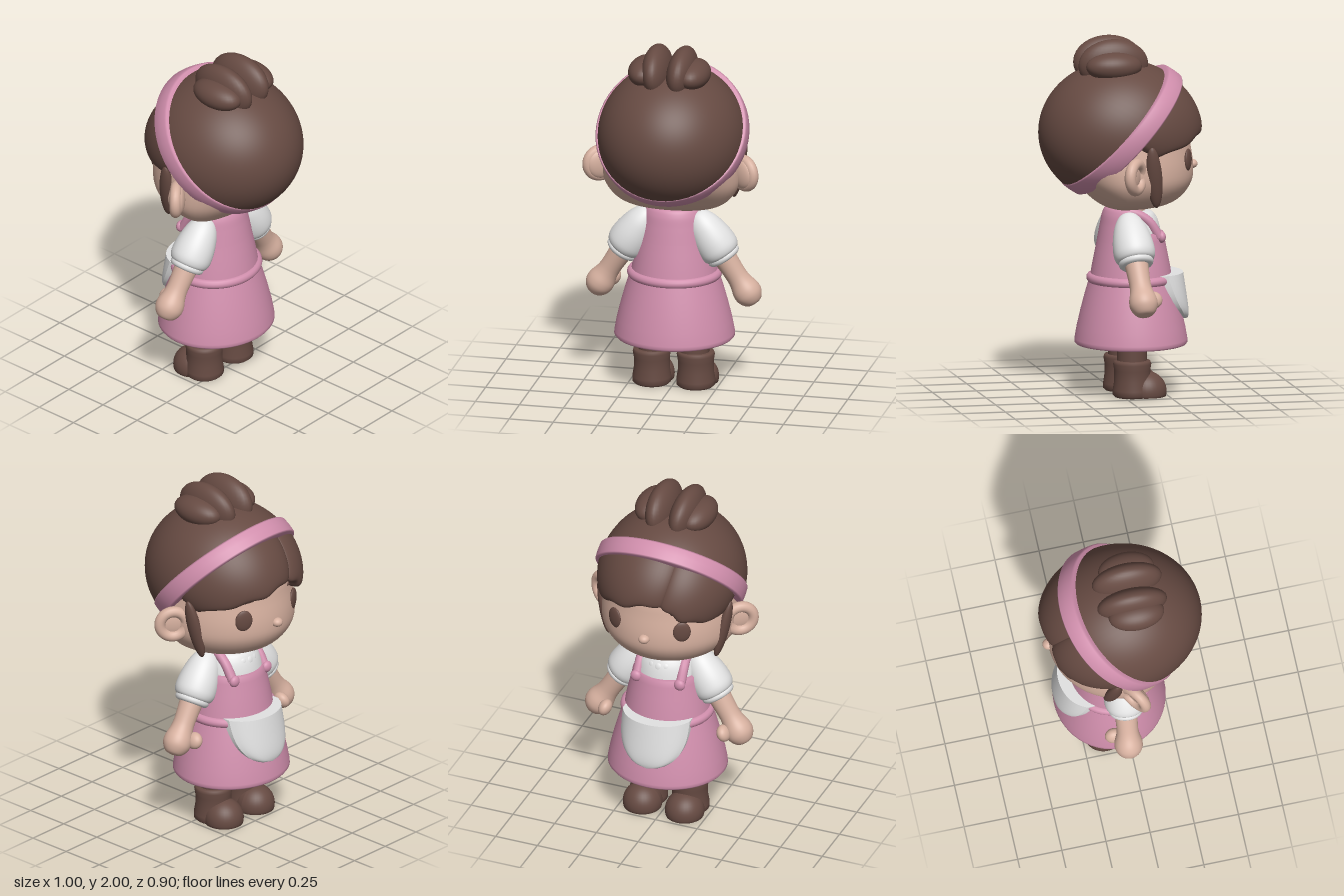
import * as THREE from 'three';

const mat = (name, color, side = THREE.FrontSide) => {
  const m = new THREE.MeshStandardMaterial({ color, side });
  m.name = name;
  return m;
};

export function createModel() {
  const hair = mat('brown', 0x664a42, THREE.DoubleSide);
  const pink = mat('pink', 0xd08eac, THREE.DoubleSide);
  const skin = mat('skin', 0xd6b09f);
  const white = mat('white', 0xe2e2e2);
  const root = new THREE.Group();

  // helpers
  const add = (parent, name, geo, material, x = 0, y = 0, z = 0) => {
    const m = new THREE.Mesh(geo, material);
    m.name = name;
    m.position.set(x, y, z);
    parent.add(m);
    return m;
  };
  const ball = (parent, name, material, p, r) =>
    add(parent, name, new THREE.SphereGeometry(1, 32, 22).scale(...r), material, ...p);
  const lathe = (pts, start = 0, length = Math.PI * 2) =>
    new THREE.LatheGeometry(pts.map(p => new THREE.Vector2(...p)), 56, start, length);
  const smooth = (pts, n = 32) =>
    new THREE.SplineCurve(pts.map(p => new THREE.Vector2(...p))).getPoints(n).map(p => [Math.max(0, p.x), p.y]);
  const bothSides = (name, build) => {
    for (const s of [1, -1]) {
      const g = new THREE.Group();
      g.name = (s > 0 ? 'left' : 'right') + name;
      build(g);
      g.scale.x = s;
      root.add(g);
    }
  };
  // places a unit-sphere geometry on the skull, tilted along the headband
  const onSkull = geo => geo.rotateX(0.897).scale(0.41, 0.4, 0.455).translate(0, 1.46, 0);

  // head: round jaw, flattened towards the nape
  const headGeo = lathe(smooth([[0, 1.05], [0.13, 1.051], [0.24, 1.066], [0.32, 1.11], [0.375, 1.19], [0.385, 1.28],
    [0.37, 1.4], [0.345, 1.52], [0.25, 1.66], [0, 1.74]], 40));
  const hp = headGeo.attributes.position;
  for (let i = 0; i < hp.count; i++) {
    const z = hp.getZ(i), f = Math.min(0.85, 0.4 + (hp.getY(i) - 1.05) * 1.8);
    hp.setZ(i, z > 0 ? z * f : z * 1.05 - 0.01);
  }
  headGeo.computeVertexNormals();
  add(root, 'head', headGeo, skin);
  ball(root, 'nose', skin, [0, 1.275, -0.415], [0.032, 0.026, 0.032]);

  // hair cap and headband
  add(root, 'hairCap', onSkull(new THREE.SphereGeometry(1, 64, 32, 0, Math.PI * 2, 0, 1.48).translate(0, 0, -0.03)), hair);
  add(root, 'headband', onSkull(lathe([[0.9, -0.125], [1.015, -0.122], [1.035, -0.1], [1.04, 0], [1.035, 0.1],
    [1.015, 0.122], [0.9, 0.125]]).translate(0, 0, -0.06)), pink);

  // swept fringe, one puffed lobe on each side of the parting
  const fringe = (name, a0, a1) => {
    const cols = 36, rows = 20, pos = [], idx = [];
    for (let i = 0; i <= cols; i++) {
      const s = i / cols, phi = THREE.MathUtils.degToRad(a0 + (a1 - a0) * s);
      const puff = Math.pow(Math.max(0, Math.sin(Math.PI * s)), 0.35);
      const hem = THREE.MathUtils.degToRad(42 - 18 * s + 14 * Math.sin(Math.PI * s) + 1.2 * Math.sin(s * 19));
      for (let j = 0; j <= rows; j++) {
        const v = j / rows, lat = hem * (1 - (1 - v) ** 1.6);
        const r = 0.88 + 0.155 * puff * Math.sqrt(1 - v ** 8);
        pos.push(r * Math.cos(lat) * Math.sin(phi), -r * Math.sin(lat), -r * Math.cos(lat) * Math.cos(phi));
        if (i < cols && j < rows) {
          const a = i * (rows + 1) + j, b = a + rows + 1;
          if (a1 > a0) idx.push(a, a + 1, b, b, a + 1, b + 1);
          else idx.push(a, b, a + 1, b, b + 1, a + 1);
        }
      }
    }
    const g = new THREE.BufferGeometry();
    g.setAttribute('position', new THREE.Float32BufferAttribute(pos, 3));
    g.setIndex(idx);
    onSkull(g).computeVertexNormals();
    add(root, name, g, hair);
  };
  fringe('wideFringe', -25, 92);
  fringe('narrowFringe', -17, -92);

  bothSides('HeadDetails', g => {
    // bun lobes
    ball(g, 'bunInnerLobe', hair, [0.07, 1.855, 0.045], [0.08, 0.145, 0.197]).rotation.z = -0.08;
    ball(g, 'bunOuterLobe', hair, [0.135, 1.855, 0.055], [0.095, 0.08, 0.157]);
    // side lock
    ball(g, 'sideLock', hair, [0.355, 1.26, -0.125], [0.032, 0.18, 0.045]).rotation.set(0.12, 0, -0.2);
    // cupped ear, flaring backwards
    const ear = new THREE.Group();
    ear.name = 'ear';
    ear.position.set(0.41, 1.275, -0.01);
    ear.rotation.y = -0.65;
    g.add(ear);
    add(ear, 'earRim', new THREE.TorusGeometry(0.074, 0.031, 16, 36), skin);
    ball(ear, 'earBack', skin, [0, 0, 0.02], [0.085, 0.085, 0.032]);
    // eye and brow
    const eye = ball(g, 'eye', hair, [0.2, 1.33, -0.35], [0.05, 0.062, 0.016]);
    eye.rotation.y = -0.5;
    const brow = add(g, 'brow', new THREE.CapsuleGeometry(0.011, 0.06, 4, 10), hair, 0.17, 1.435, -0.345);
    brow.rotation.set(0, -0.43, Math.PI / 2 - 0.1);
  });

  // neck, blouse and scalloped collar
  add(root, 'neck', new THREE.CylinderGeometry(0.085, 0.095, 0.14, 32), skin, 0, 1.03, -0.06);
  const onBody = geo => geo.scale(1, 1, 0.93).translate(0, 0, -0.07);
  add(root, 'blouse', onBody(lathe(smooth([[0.19, 0.82], [0.175, 0.92], [0.15, 0.99], [0.11, 1.025], [0, 1.035]]))), white);
  for (let i = -3; i <= 3; i++) {
    const a = i * 0.36;
    ball(root, 'collarScallop', white, [Math.sin(a) * 0.115, 0.985 - 0.025 * Math.cos(a), -0.07 - Math.cos(a) * 0.125],
      [0.036, 0.04, 0.026]).rotation.y = -a;
  }

  // dress: skirt, waistband, bodice and high back panel
  add(root, 'skirt', onBody(lathe([[0, 0.29], [0.315, 0.285], [0.328, 0.282], [0.336, 0.292], [0.335, 0.31],
    [0.322, 0.38], [0.3, 0.47], [0.275, 0.56], [0.25, 0.64]])), pink);
  add(root, 'waistband', onBody(new THREE.TorusGeometry(0.238, 0.027, 14, 64).rotateX(Math.PI / 2).translate(0, 0.65, 0)), pink);
  add(root, 'bodice', onBody(lathe([[0.245, 0.64], [0.232, 0.72], [0.215, 0.8], [0.2, 0.87], [0.193, 0.905], [0.18, 0.912], [0.16, 0.905]])), pink);
  add(root, 'backPanel', onBody(lathe(smooth([[0.203, 0.86], [0.185, 0.95], [0.17, 1.015], [0.145, 1.05], [0.09, 1.055]]), -1.35, 2.7)), pink);

  // apron pocket wrapped around the skirt front
  const pocket = new THREE.BoxGeometry(2, 1, 1, 28, 24, 2);
  const pp = pocket.attributes.position;
  for (let i = 0; i < pp.count; i++) {
    const u = pp.getX(i), v = pp.getY(i) + 0.5, out = 0.5 - pp.getZ(i);
    const x = u * 0.2 * Math.pow(1 - (1 - v) ** 3.2, 0.5);
    const y = 0.41 + 0.27 * v, r = 0.31 - 0.065 * v;
    const soft = Math.sqrt(1 - 0.6 * u ** 6) * Math.sqrt(1 - 0.6 * (1 - v) ** 8);
    pp.setXYZ(i, x, y, -0.06 - 0.93 * Math.sqrt(r * r - x * x) - out * (0.052 + 0.02 * v) * soft);
  }
  pocket.computeVertexNormals();
  add(root, 'apronPocket', pocket, white);

  bothSides('Limbs', g => {
    // strap and its button
    const strap = new THREE.CatmullRomCurve3([[0.09, 1.025, 0.02], [0.115, 1.03, -0.05], [0.128, 0.98, -0.14], [0.13, 0.89, -0.2]]
      .map(p => new THREE.Vector3(...p)));
    add(g, 'strap', new THREE.TubeGeometry(strap, 24, 0.028, 12), pink);
    ball(g, 'strapButton', pink, [0.13, 0.89, -0.215], [0.033, 0.033, 0.024]);

    // arm with puffed sleeve, built along its own axis
    const arm = new THREE.Group();
    arm.name = 'arm';
    arm.position.set(0.15, 0.985, -0.025);
    arm.rotation.set(0.06, 0, 0.57);
    g.add(arm);
    add(arm, 'sleeve', lathe(smooth([[0, -0.25], [0.085, -0.245], [0.112, -0.215], [0.115, -0.16], [0.104, -0.09],
      [0.082, -0.02], [0.045, 0.035], [0, 0.045]])), white);
    add(arm, 'cuff', new THREE.TorusGeometry(0.075, 0.022, 12, 36).rotateX(Math.PI / 2), white, 0, -0.25, 0);
    add(arm, 'forearm', lathe(smooth([[0, -0.575], [0.045, -0.565], [0.074, -0.525], [0.078, -0.48], [0.063, -0.42],
      [0.06, -0.36], [0.068, -0.23]])), skin);
    ball(g, 'thumb', skin, [0.355, 0.575, -0.12], [0.036, 0.048, 0.05]).rotation.z = 0.4;

    // leg and boot with rounded toe and flat sole
    add(g, 'leg', new THREE.CylinderGeometry(0.083, 0.083, 0.14, 32), hair, 0.115, 0.24, -0.05);
    add(g, 'bootShaft', lathe([[0, 0], [0.095, 0], [0.108, 0.012], [0.108, 0.04], [0.1, 0.09], [0.1, 0.15], [0.106, 0.185],
      [0.1, 0.202], [0.08, 0.205]]), hair, 0.125, 0, -0.05);
    const toe = new THREE.SphereGeometry(1, 32, 24).scale(0.11, 0.11, 0.112).translate(0, 0.03, 0);
    const tp = toe.attributes.position;
    for (let i = 0; i < tp.count; i++) tp.setY(i, Math.max(0.002, tp.getY(i)));
    toe.computeVertexNormals();
    add(g, 'bootToe', toe, hair, 0.126, 0, -0.13);
  });

  return root;
}
